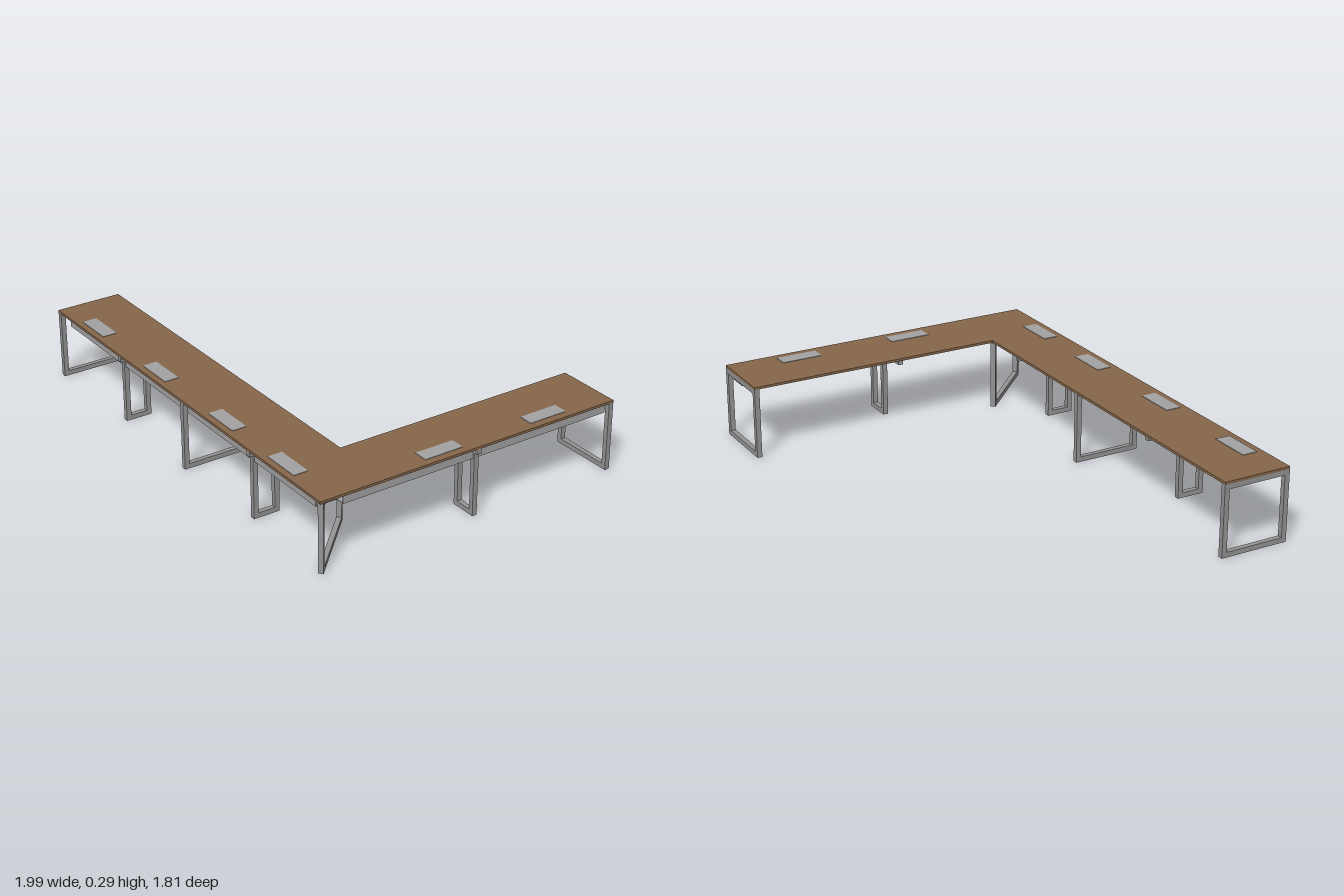
import * as THREE from 'three';

const WIDTH = 0.275, LONG = 1.87, SHORT = 1.315; // desk depth and arm lengths
const TOP = 0.29, THICK = 0.01, TUBE = 0.02;

export function createModel() {
  const wood = new THREE.MeshStandardMaterial({ color: 0x86664a });
  wood.name = 'brown wood';
  const steel = new THREE.MeshStandardMaterial({ color: 0x949494 });
  steel.name = 'grey steel';
  const sheet = new THREE.MeshStandardMaterial({ color: 0xa2a2a2 });
  sheet.name = 'light grey sheet metal';

  const model = new THREE.Group();
  model.name = 'cornerDesk';

  // The outer corner is the origin; one arm runs along -z, the other along +x
  const desk = new THREE.Group();
  desk.name = 'deskAssembly';
  desk.position.set(-0.19, 0, 0.9);
  desk.rotation.y = 0.447;
  model.add(desk);

  const box = (parent, name, material, size, pos) => {
    const mesh = new THREE.Mesh(new THREE.BoxGeometry(...size), material);
    mesh.name = name;
    mesh.position.set(...pos);
    parent.add(mesh);
    return mesh;
  };

  // L-shaped tabletop
  const outline = new THREE.Shape([
    [0, 0], [SHORT, 0], [SHORT, -WIDTH], [WIDTH, -WIDTH], [WIDTH, -LONG], [0, -LONG],
  ].map(([x, z]) => new THREE.Vector2(x, z)));
  const topGeometry = new THREE.ExtrudeGeometry(outline, { depth: THICK, bevelEnabled: false });
  topGeometry.rotateX(Math.PI / 2).translate(0, TOP, 0);
  const tabletop = new THREE.Mesh(topGeometry, wood);
  tabletop.name = 'tabletop';
  desk.add(tabletop);

  // Leg frame: a full-depth top bar, two posts and a floor bar between them
  const legFrame = (name, x, z, turn, depth, postA, postB) => {
    const frame = new THREE.Group();
    frame.name = name;
    frame.position.set(x, 0, z);
    frame.rotation.y = turn;
    const underside = TOP - THICK;
    box(frame, 'topBar', steel, [depth, TUBE, TUBE], [depth / 2, underside - TUBE / 2, 0]);
    const postHeight = underside - TUBE;
    for (const p of [postA, postB]) {
      box(frame, 'post', steel, [TUBE, postHeight, TUBE], [p, postHeight / 2, 0]);
    }
    box(frame, 'floorBar', steel, [postB - postA - TUBE, TUBE, TUBE],
      [(postA + postB) / 2, TUBE / 2, 0]);
    desk.add(frame);
  };
  const half = TUBE / 2;
  const fullFrame = (name, x, z, turn, depth = WIDTH) =>
    legFrame(name, x, z, turn, depth, half, depth - half);
  const narrowFrame = (name, x, z, turn) =>
    legFrame(name, x, z, turn, WIDTH - 0.01, 0.025, 0.115);

  fullFrame('longEndFrame', 0, -LONG + half, 0);
  narrowFrame('longOuterFrame', 0, -1.375, 0);
  fullFrame('longMiddleFrame', 0, -0.91, 0);
  narrowFrame('longInnerFrame', 0, -0.455, 0);
  fullFrame('cornerFrame', 0.005, -0.005, Math.PI / 4, WIDTH * Math.SQRT2 - 0.014);
  narrowFrame('shortMiddleFrame', 0.685, 0, Math.PI / 2);
  fullFrame('shortEndFrame', SHORT - half, 0, Math.PI / 2);

  // Open cable channel hung under each arm, near the outer edge
  const channel = (name, turn, start, end) => {
    const tray = new THREE.Group();
    tray.name = name;
    tray.rotation.y = turn;
    const length = end - start, mid = -(start + end) / 2;
    const low = 0.235, high = 0.275, wall = 0.003, near = 0.022, far = 0.108;
    box(tray, 'trayFloor', sheet, [far - near, wall, length], [(near + far) / 2, low + wall / 2, mid]);
    for (const x of [near + wall / 2, far - wall / 2]) {
      box(tray, 'traySide', sheet, [wall, high - low - wall, length], [x, (low + wall + high) / 2, mid]);
    }
    desk.add(tray);
    return tray;
  };
  channel('longCableTray', 0, 0.06, 1.81);
  // Mirrored arm: swap the axes by turning, then shift behind the outer edge
  channel('shortCableTray', -Math.PI / 2, 0.11, 1.295).position.z = -0.13;

  // Flush cable access covers in the tabletop
  for (const s of [0.283, 0.68, 1.155, 1.63]) {
    box(desk, 'cableCover', sheet, [0.06, 0.004, 0.165], [0.056, TOP, -s]);
  }
  for (const s of [0.551, 1.028]) {
    box(desk, 'cableCover', sheet, [0.165, 0.004, 0.06], [s, TOP, -0.061]);
  }

  return model;
}
